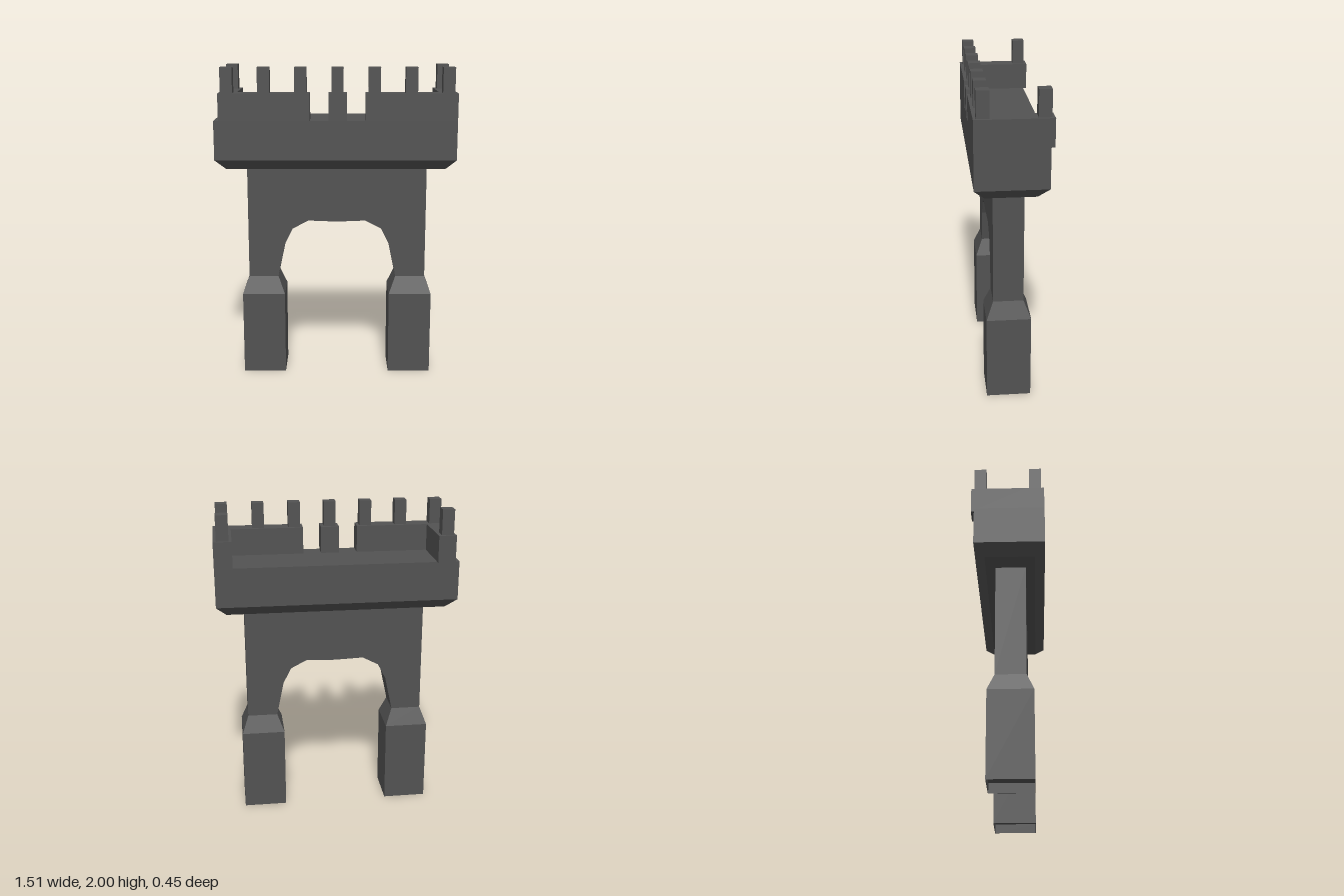
import * as THREE from 'three';

const stone = new THREE.MeshStandardMaterial({ color: 0x525252 });
stone.name = 'dark stone';

// Stacks rectangular rings [y, x0, x1, z0, z1] into a closed flat-shaded solid
function loft(rings) {
  const corners = rings.map(([y, x0, x1, z0, z1]) => [
    [x0, y, z1], [x1, y, z1], [x1, y, z0], [x0, y, z0],
  ]);
  const pos = [];
  const quad = (a, b, c, d) => pos.push(...a, ...b, ...c, ...a, ...c, ...d);
  for (let i = 0; i < corners.length - 1; i++) {
    for (let k = 0; k < 4; k++) {
      const n = (k + 1) % 4;
      quad(corners[i][k], corners[i][n], corners[i + 1][n], corners[i + 1][k]);
    }
  }
  const first = corners[0], last = corners[corners.length - 1];
  quad(first[3], first[2], first[1], first[0]);
  quad(last[0], last[1], last[2], last[3]);
  const geo = new THREE.BufferGeometry();
  geo.setAttribute('position', new THREE.Float32BufferAttribute(pos, 3));
  geo.computeVertexNormals();
  return geo;
}

export function createModel() {
  const model = new THREE.Group();
  model.name = 'gateTower';

  function add(name, geometry, parent = model) {
    const mesh = new THREE.Mesh(geometry, stone);
    mesh.name = name;
    parent.add(mesh);
    return mesh;
  }
  function block(name, x0, x1, y0, y1, z0, z1) {
    const geo = new THREE.BoxGeometry(x1 - x0, y1 - y0, z1 - z0);
    add(name, geo).position.set((x0 + x1) / 2, (y0 + y1) / 2, (z0 + z1) / 2);
  }

  // Arched gate, symmetric about its own slightly shifted centre
  const gate = new THREE.Group();
  gate.name = 'gate';
  gate.position.set(0.007, 0, 0.013);
  model.add(gate);

  // Arch wall
  const half = [[0.382, 0.645], [0.336, 0.865], [0.285, 0.965], [0.183, 1.018]];
  const outline = [
    [-0.572, 0.645],
    ...half.map(([x, y]) => [-x, y]),
    [0, 1.011],
    ...half.slice().reverse(),
    [0.572, 0.645], [0.572, 1.365], [-0.572, 1.365],
  ];
  const shape = new THREE.Shape(outline.map(([x, y]) => new THREE.Vector2(x, y)));
  const wall = new THREE.ExtrudeGeometry(shape, { depth: 0.187, bevelEnabled: false });
  add('archWall', wall.translate(0, 0, -0.0935), gate);

  // Legs with tapered shoulders and a shallow hollow underneath
  for (const side of [-1, 1]) {
    const ring = (y, inner, outer, z) =>
      [y, Math.min(side * inner, side * outer), Math.max(side * inner, side * outer), -z, z];
    add(side > 0 ? 'leftLeg' : 'rightLeg', loft([
      ring(0.06, 0.342, 0.61, 0.135),
      ring(0, 0.342, 0.61, 0.135),
      ring(0, 0.339, 0.613, 0.1375),
      ring(0.535, 0.339, 0.613, 0.1375),
      ring(0.645, 0.382, 0.572, 0.0935),
    ]), gate);
  }

  // Platform with chamfered underside
  add('platform', loft([
    [1.365, -0.69, 0.69, -0.142, 0.163],
    [1.43, -0.755, 0.752, -0.207, 0.226],
    [1.675, -0.755, 0.752, -0.207, 0.226],
  ]));

  // Parapet: front pieces, centre merlon and the two side walls
  const low = 1.675, high = 1.843;
  block('frontParapetRight', -0.725, -0.16, low, high, 0.112, 0.226);
  block('centreMerlon', -0.045, 0.07, low, high, 0.112, 0.226);
  block('frontParapetLeft', 0.185, 0.752, low, high, 0.112, 0.226);
  block('sideParapetRight', -0.725, -0.615, low, high, -0.228, 0.112);
  block('sideParapetLeft', 0.64, 0.752, low, high, -0.228, 0.112);

  // Small posts along the front and on the rear corners
  const post = (name, x, z) =>
    block(name, x - 0.0375, x + 0.0375, high, 2, z - 0.0375, z + 0.0375);
  for (let i = 0; i < 7; i++) post('frontPost', -0.673 + i * 0.228, 0.171);
  for (const x of [-0.673, 0.695]) post('rearPost', x, -0.173);

  return model;
}
